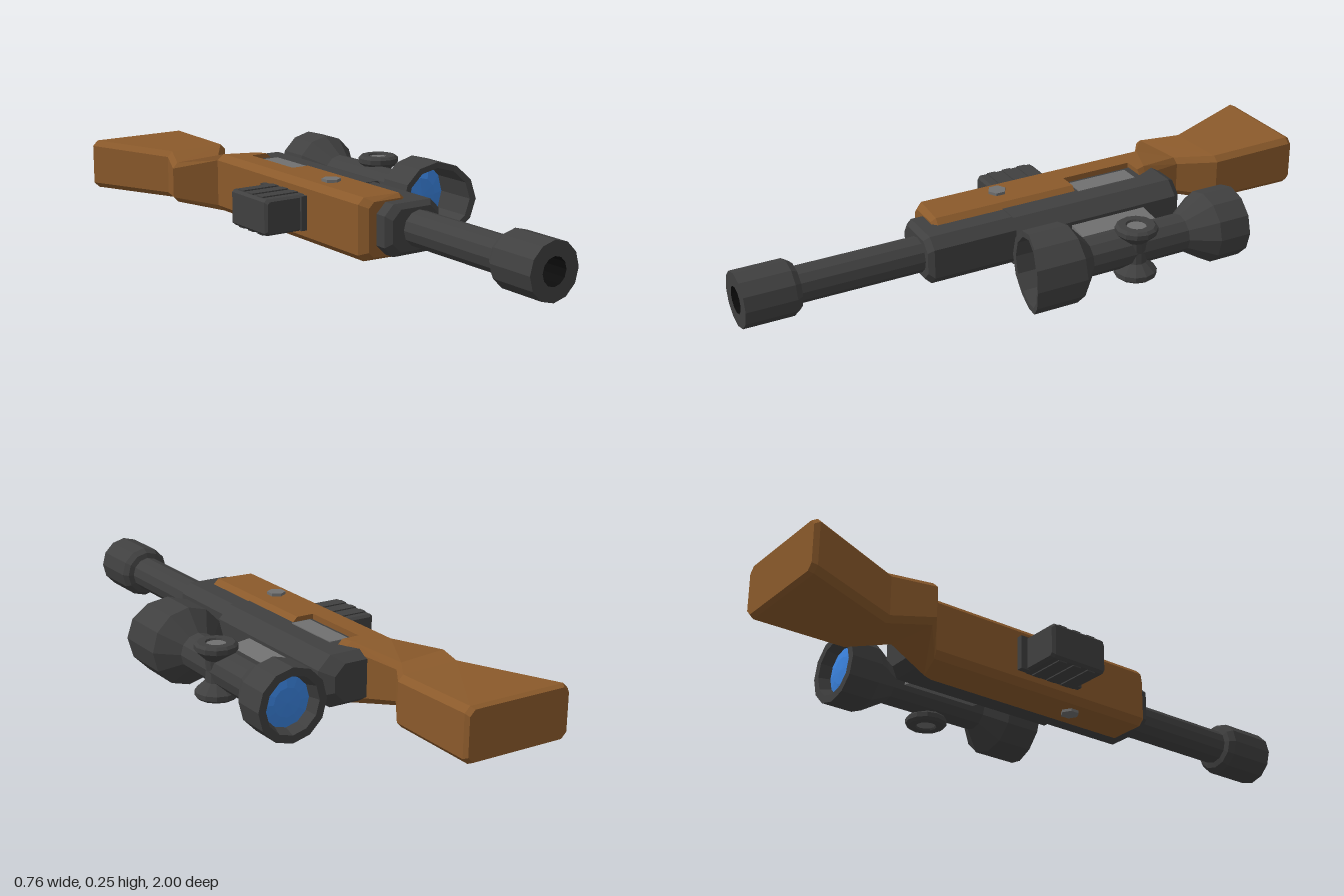
import * as THREE from 'three';

const CY = 0.13; // height of the centre plane; the rifle lies on its side, sights towards +x
const mat = (color) => new THREE.MeshStandardMaterial({ color, flatShading: true, side: THREE.DoubleSide });

// Chamfered block lofted along z. Section: [x low, z low, x high, z high, half width, chamfer, notch x]
function loft(sections) {
  const loops = sections.map(([xb, zb, xt, zt, h, c, notch]) => {
    const pts = [[xb, c - h], [xb + c, -h], [xt - c, -h], [xt, c - h], [xt, h - c], [xt - c, h], [xb + c, h], [xb, h - c]];
    if (notch !== undefined) pts[4][0] = pts[5][0] = notch;
    return pts.map(([x, y]) => [x, y + CY, zb + (zt - zb) * (x - xb) / (xt - xb)]);
  });
  const pos = [];
  const tri = (...p) => p.forEach((v) => pos.push(...v));
  for (let i = 0; i < loops.length - 1; i++) {
    for (let j = 0; j < 8; j++) {
      const k = (j + 1) % 8, a = loops[i], b = loops[i + 1];
      tri(a[j], a[k], b[k]);
      tri(a[j], b[k], b[j]);
    }
  }
  const first = loops[0], last = loops[loops.length - 1];
  for (let j = 1; j < 7; j++) {
    tri(first[0], first[j + 1], first[j]);
    tri(last[0], last[j], last[j + 1]);
  }
  const g = new THREE.BufferGeometry();
  g.setAttribute('position', new THREE.Float32BufferAttribute(pos, 3));
  g.computeVertexNormals();
  return g;
}

// Turned part along z, profile given as [radius, z]
const turned = (profile, x, sides = 12) =>
  new THREE.LatheGeometry(profile.map(([r, z]) => new THREE.Vector2(r, z)), sides)
    .rotateX(Math.PI / 2).translate(x, CY, 0);

export function createModel() {
  const group = new THREE.Group();
  const wood = mat(0x8b5a2b), dark = mat(0x404040), grey = mat(0x707070);
  const blue = mat(0x3a82dd), black = mat(0x0c0c0c);
  const add = (name, geometry, material) => {
    const mesh = new THREE.Mesh(geometry, material);
    mesh.name = name;
    group.add(mesh);
    return mesh;
  };

  // Stock: butt, wrist, and fore-end with a cut-out on its upper side
  const lo = -0.177, hi = -0.013;
  add('stock', loft([
    [-0.37, -1, -0.02, -1, 0.077, 0.018],
    [-0.378, -0.985, hi, -0.985, 0.084, 0.018],
    [-0.25, -0.675, hi, -0.69, 0.08, 0.018],
    [-0.3, -0.55, -0.09, -0.58, 0.067, 0.018],
    [lo, -0.465, -0.025, -0.41, 0.097, 0.02],
    [lo, -0.385, hi, -0.385, 0.097, 0.02],
    [lo, -0.385, hi, -0.385, 0.097, 0.02, -0.092],
    [lo, -0.14, hi, -0.14, 0.097, 0.02, -0.092],
    [lo, -0.14, hi, -0.14, 0.097, 0.02],
    [lo, 0.335, hi, 0.345, 0.097, 0.02],
    [-0.155, 0.36, -0.02, 0.36, 0.085, 0.018],
  ]), wood);

  // Receiver and the lower block that holds the barrel
  add('receiver', loft([
    [-0.12, -0.485, 0.06, -0.485, 0.06, 0.035],
    [-0.128, -0.45, 0.096, -0.45, 0.082, 0.042],
    [-0.128, 0.12, 0.096, 0.12, 0.082, 0.042],
  ]), dark);
  add('barrelBlock', loft([
    [-0.128, 0.1, 0.074, 0.1, 0.08, 0.032],
    [-0.128, 0.4, 0.074, 0.4, 0.08, 0.032],
    [-0.11, 0.417, 0.06, 0.417, 0.065, 0.03],
  ]), dark);
  const port = new THREE.BoxGeometry(0.066, 0.02, 0.21);
  add('ejectionPort', port.translate(-0.04, 0.205, -0.255), grey);

  // Barrel and hollow muzzle
  add('barrel', turned([[0.057, 0.4], [0.057, 0.83]], -0.013), dark);
  add('muzzle', turned([[0.057, 0.815], [0.075, 0.82], [0.088, 0.84], [0.088, 1], [0.043, 1]], -0.013), dark);
  add('bore', turned([[0.043, 1], [0.043, 0.88], [0, 0.88]], -0.013), black);

  // Scope body, with a slanted hood at the front
  const sx = 0.252;
  const body = turned([
    [0.078, -0.52], [0.09, -0.557], [0.115, -0.557], [0.115, -0.45], [0.062, -0.365],
    [0.062, -0.02], [0.127, 0.04], [0.127, 0.16], [0.108, 0.16], [0.108, 0.06],
  ], sx);
  const p = body.attributes.position;
  for (let i = 0; i < p.count; i++) {
    const t = (p.getX(i) - sx + 0.127) / 0.254;
    if (p.getZ(i) > 0.1) p.setZ(i, p.getZ(i) + 0.052 * t * t);
  }
  body.computeVertexNormals();
  add('scopeBody', body, dark);
  add('frontLens', turned([[0.108, 0.06], [0.06, 0.085], [0, 0.095]], sx), blue);
  add('rearLens', turned([[0, -0.53], [0.045, -0.527], [0.078, -0.52]], sx), blue);

  // Scope mount, tapering towards the tube
  const mount = new THREE.BoxGeometry(0.11, 0.06, 0.265);
  const m = mount.attributes.position;
  for (let i = 0; i < m.count; i++) if (m.getX(i) > 0) m.setY(i, m.getY(i) * 0.45);
  mount.computeVertexNormals();
  add('scopeMount', mount.translate(0.145, CY, -0.198), grey);

  // Adjustment knobs: a flared pair on one spindle, mirrored in y
  const knobProfile = [[0.032, 0], [0.035, 0.035], [0.067, 0.065], [0.067, 0.08], [0.058, 0.088], [0.034, 0.088], [0.03, 0.08]];
  for (const s of [1, -1]) {
    const place = (g) => (s < 0 ? g.rotateX(Math.PI) : g).translate(0.284, CY, -0.185);
    const knob = new THREE.LatheGeometry(knobProfile.map(([r, y]) => new THREE.Vector2(r, y)), 12);
    add('scopeKnob', place(knob), dark);
    add('knobCap', place(new THREE.CylinderGeometry(0.032, 0.032, 0.01, 12).translate(0, 0.077, 0)), grey);
  }

  // Magazine with ribs on both faces, and its collar
  add('magazine', loft([
    [-0.315, -0.145, -0.16, -0.145, 0.05, 0.008],
    [-0.322, -0.135, -0.16, -0.135, 0.057, 0.008],
    [-0.322, 0.05, -0.16, 0.05, 0.057, 0.008],
    [-0.315, 0.06, -0.16, 0.06, 0.05, 0.008],
  ]), dark);
  for (const z of [-0.1, -0.045, 0.01]) {
    add('magazineRib', new THREE.BoxGeometry(0.13, 0.122, 0.03).translate(-0.247, CY, z), dark);
  }
  add('magazineCollar', new THREE.BoxGeometry(0.03, 0.11, 0.235).translate(-0.182, CY, -0.05), dark);

  // Cross bolt through the fore-end
  add('crossBolt', new THREE.CylinderGeometry(0.03, 0.03, 0.212, 6).translate(-0.105, CY, 0.095), grey);

  return group;
}
